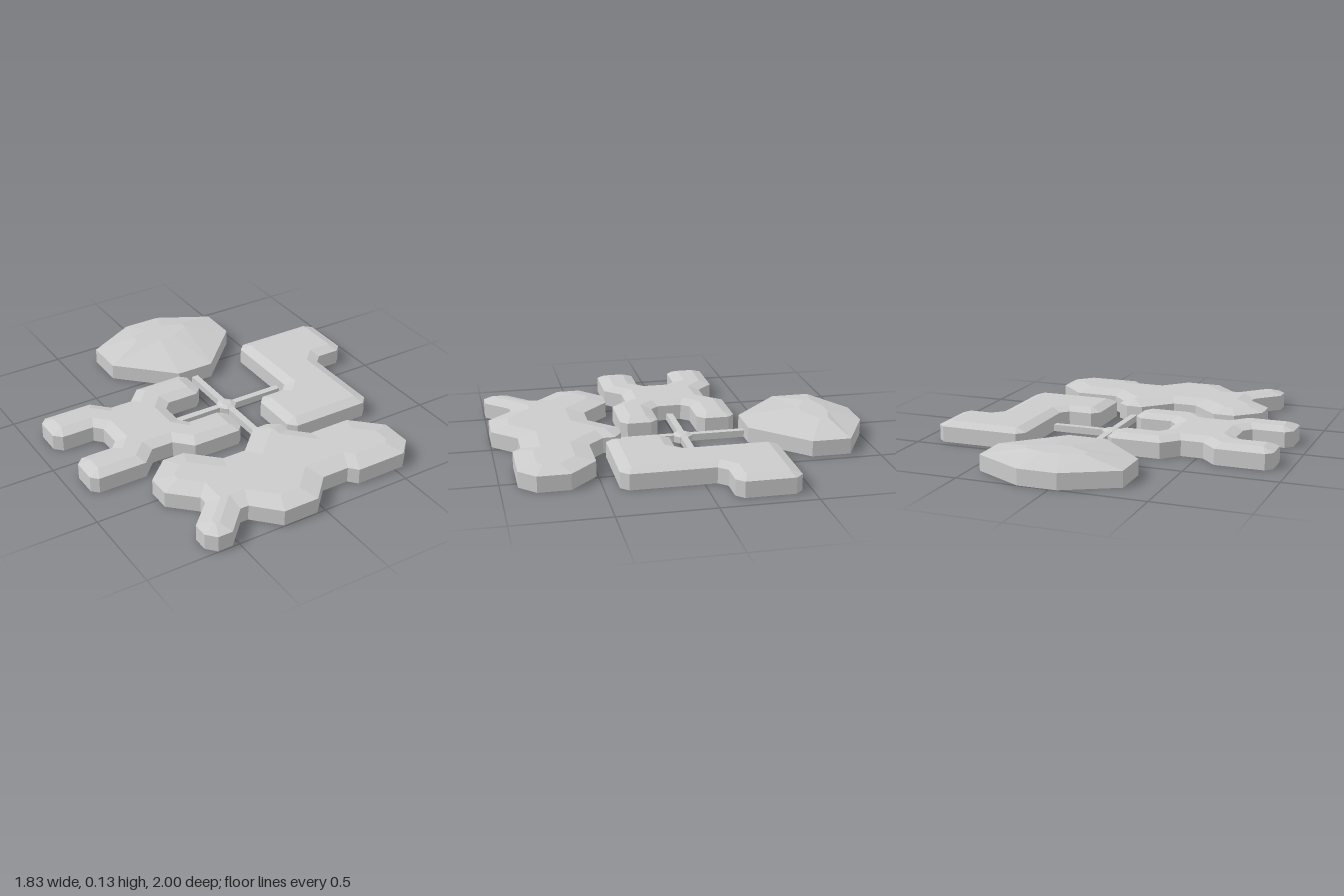
import * as THREE from 'three';

const material = new THREE.MeshStandardMaterial({ color: 0xcccccc, flatShading: true });

// Moves each edge of a clockwise [x, z] outline inwards by distance(edgeIndex)
function inset(outline, distance) {
  const n = outline.length;
  const normal = (i) => {
    const a = outline[i], b = outline[(i + 1) % n];
    const len = Math.hypot(b[0] - a[0], b[1] - a[1]);
    return [-(b[1] - a[1]) / len, (b[0] - a[0]) / len];
  };
  return outline.map(([x, z], i) => {
    const k = (i + n - 1) % n;
    const p = normal(k), q = normal(i), dp = distance(k), dq = distance(i);
    const det = p[0] * q[1] - p[1] * q[0];
    return [x + (dp * q[1] - dq * p[1]) / det, z + (p[0] * dq - q[0] * dp) / det];
  });
}

// Solid slab: vertical wall, sloped rim up to the inner ring, flat top and bottom
function slab(name, outline, inner, wallTop, top) {
  const pos = [];
  const put = (p, y) => pos.push(p[0], y, p[1]);
  const band = (lower, y0, upper, y1) => lower.forEach((a, i) => {
    const j = (i + 1) % lower.length, b = lower[j];
    put(b, y0); put(a, y0); put(upper[i], y1);
    put(b, y0); put(upper[i], y1); put(upper[j], y1);
  });
  const cap = (ring, y, up) => {
    const pts = ring.map(([x, z]) => new THREE.Vector2(x, z));
    for (const [i, j, k] of THREE.ShapeUtils.triangulateShape(pts, [])) {
      const a = ring[i], b = ring[j], c = ring[k];
      const area = (b[0] - a[0]) * (c[1] - a[1]) - (b[1] - a[1]) * (c[0] - a[0]);
      const order = (area < 0) === up ? [a, b, c] : [a, c, b];
      order.forEach((p) => put(p, y));
    }
  };
  band(outline, 0, outline, wallTop);
  band(outline, wallTop, inner, top);
  cap(inner, top, true);
  cap(outline, 0, false);
  const geometry = new THREE.BufferGeometry();
  geometry.setAttribute('position', new THREE.Float32BufferAttribute(pos, 3));
  geometry.computeVertexNormals();
  const mesh = new THREE.Mesh(geometry, material);
  mesh.name = name;
  return mesh;
}

export function createModel() {
  const group = new THREE.Group();
  group.name = 'linkedIslands';
  const WALL = 0.085, TOP = 0.106;

  // Back island: faceted dome
  const back = [[-0.04, -1], [0.17, -1], [0.445, -0.85], [0.445, -0.64],
    [0.17, -0.365], [-0.04, -0.365], [-0.32, -0.64], [-0.32, -0.85]];
  const crown = back.map(([x, z]) => [0.062 + (x - 0.062) * 0.42, -0.782 + (z + 0.782) * 0.22]);
  group.add(slab('backIsland', back, crown, WALL, 0.128));

  // Right island: four-armed cross, mirrored from one quarter
  const quarter = [[0.06, 0.23], [0.145, 0.318], [0.41, 0.318], [0.445, 0.283],
    [0.445, 0.15], [0.405, 0.11], [0.23, 0.11], [0.19, 0.065]];
  const cross = [[1, -1], [1, 1], [-1, 1], [-1, -1]].flatMap(([sx, sz], i) => {
    const part = quarter.map(([u, v]) => [-0.47 + sx * u, -0.023 + sz * v]);
    return i % 2 ? part.reverse() : part;
  });
  group.add(slab('rightIsland', cross, inset(cross, () => 0.06), WALL, TOP));

  // Left island: stepped bar
  const step = [[0.4, -0.41], [0.44, -0.45], [0.87, -0.45], [0.91, -0.41],
    [0.91, -0.15], [0.87, -0.11], [0.745, -0.11], [0.7, -0.065],
    [0.7, 0.38], [0.66, 0.42], [0.23, 0.42], [0.19, 0.38],
    [0.19, 0.125], [0.23, 0.083], [0.36, 0.083], [0.4, 0.043]];
  group.add(slab('leftIsland', step, inset(step, () => 0.057), WALL, TOP));

  // Front island: broad lobed body with a narrow arm
  const front = [[-0.53, 0.32], [-0.41, 0.32], [-0.26, 0.465], [-0.13, 0.465],
    [0.015, 0.32], [0.105, 0.32], [0.165, 0.36], [0.165, 0.425],
    [0.25, 0.51], [0.485, 0.51], [0.635, 0.655], [0.635, 0.825],
    [0.55, 0.91], [0.27, 0.91], [0.23, 0.865], [0.08, 0.865],
    [-0.045, 0.995], [-0.24, 0.995], [-0.365, 0.865], [-0.41, 0.865],
    [-0.535, 0.995], [-0.615, 0.995], [-0.66, 0.945], [-0.66, 0.865],
    [-0.53, 0.735], [-0.53, 0.69], [-0.66, 0.565], [-0.66, 0.44]];
  const rim = (i) => (i >= 19 && i <= 24 ? 0.07 : i >= 4 && i <= 7 ? 0.075 : 0.1);
  group.add(slab('frontIsland', front, inset(front, rim), WALL, TOP));

  // Hub and the four connecting rods
  const hx = 0.062, hz = -0.025;
  const hub = [];
  for (let i = 0; i < 8; i++) {
    const a = (i + 0.5) * Math.PI / 4;
    hub.push([hx + 0.055 * Math.cos(a), hz + 0.055 * Math.sin(a)]);
  }
  group.add(slab('hub', hub, inset(hub, () => 0.025), 0.035, 0.045));

  const rods = [['backRod', hx, hx, -0.39, hz], ['frontRod', hx, hx, hz, 0.35],
    ['rightRod', -0.3, hx, hz, hz], ['leftRod', hx, 0.42, hz, hz]];
  for (const [name, x0, x1, z0, z1] of rods) {
    const w = 0.037, h = 0.037;
    const rod = new THREE.Mesh(new THREE.BoxGeometry(Math.max(x1 - x0, w), h, Math.max(z1 - z0, w)), material);
    rod.position.set((x0 + x1) / 2, h / 2, (z0 + z1) / 2);
    rod.name = name;
    group.add(rod);
  }
  return group;
}
